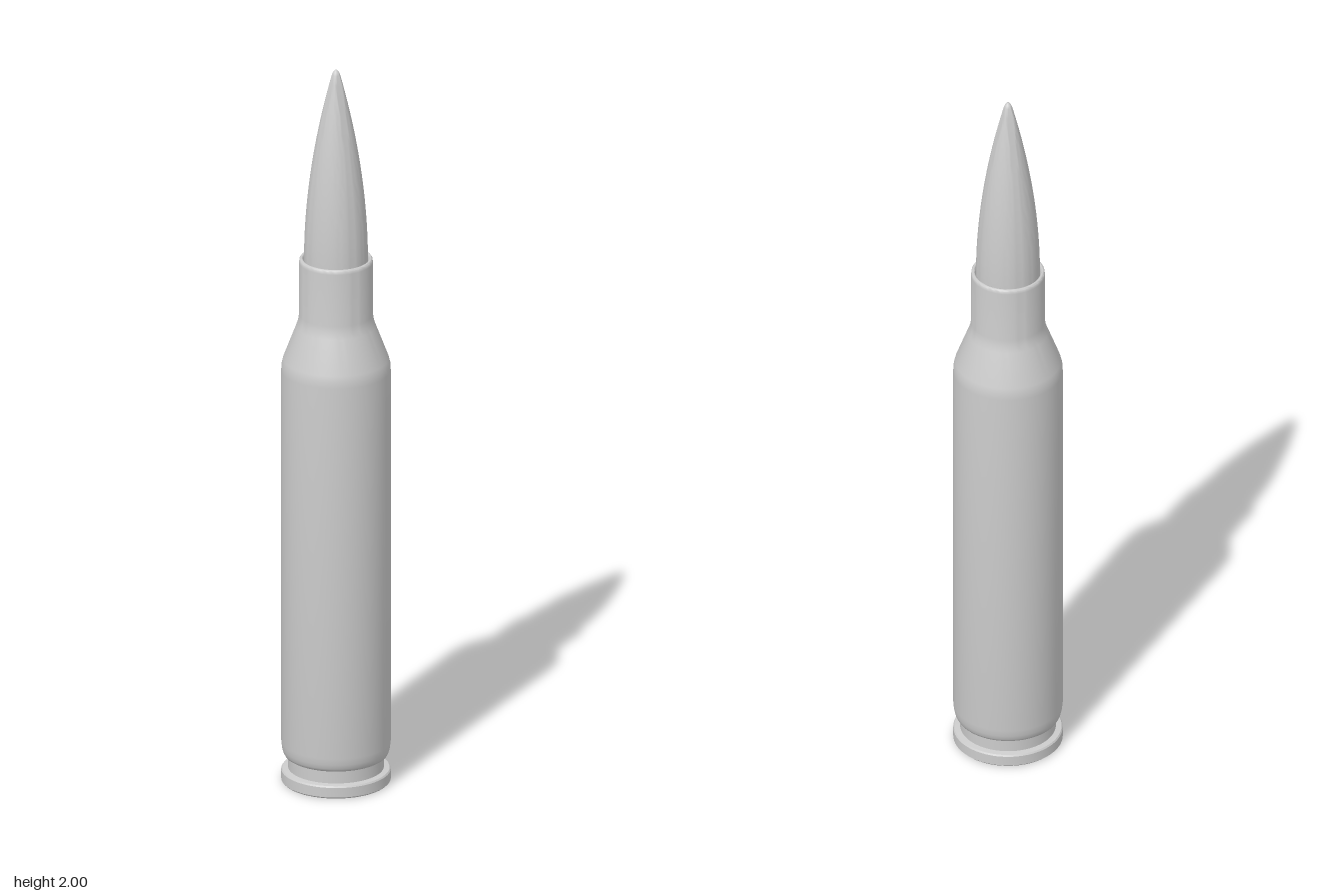
import * as THREE from 'three';
import { toCreasedNormals } from 'three/addons/utils/BufferGeometryUtils.js';

const SEGMENTS = 64;

// Turned part from [radius, height] pairs, listed bottom to top
function turned(name, profile, crease) {
  const points = profile.map(([r, y]) => new THREE.Vector2(r, y));
  const geometry = toCreasedNormals(new THREE.LatheGeometry(points, SEGMENTS), crease);
  const mesh = new THREE.Mesh(geometry, new THREE.MeshStandardMaterial({ color: 0xcccccc }));
  mesh.name = name;
  return mesh;
}

export function createModel() {
  const group = new THREE.Group();
  group.name = 'cartridge';

  // Flat base, rim and extractor groove
  group.add(turned('rim', [
    [0, 0], [0.14, 0], [0.144, 0.004], [0.144, 0.031], [0.141, 0.035],
    [0.126, 0.037], [0.126, 0.08], [0, 0.08],
  ], 0.6));

  // Case body, sloped shoulder, neck and rounded mouth
  const casing = [
    [0, 0.072], [0.13, 0.072], [0.135, 0.075], [0.139, 0.082], [0.142, 0.094], [0.144, 0.112],
    [0.144, 1.155], [0.143, 1.172], [0.139, 1.188],
    [0.105, 1.278], [0.1, 1.293], [0.097, 1.312], [0.097, 1.458],
  ];
  for (let i = 1; i <= 6; i++) {
    const a = (i / 6) * Math.PI;
    casing.push([0.091 + 0.006 * Math.cos(a), 1.462 + 0.008 * Math.sin(a)]);
  }
  casing.push([0.085, 1.42]);
  group.add(turned('casing', casing, 0.7));

  // Ogive bullet with a small rounded tip, seated inside the neck
  const bullet = [[0, 1.4], [0.084, 1.4], [0.084, 1.47]];
  const steps = 20;
  for (let i = 1; i <= steps; i++) {
    const u = i / steps;
    bullet.push([0.084 - 0.073 * Math.pow(u, 1.9), 1.47 + 0.515 * u]);
  }
  bullet.push([0.0075, 1.993], [0.004, 1.998], [0, 2]);
  group.add(turned('bullet', bullet, 0.9));

  return group;
}
